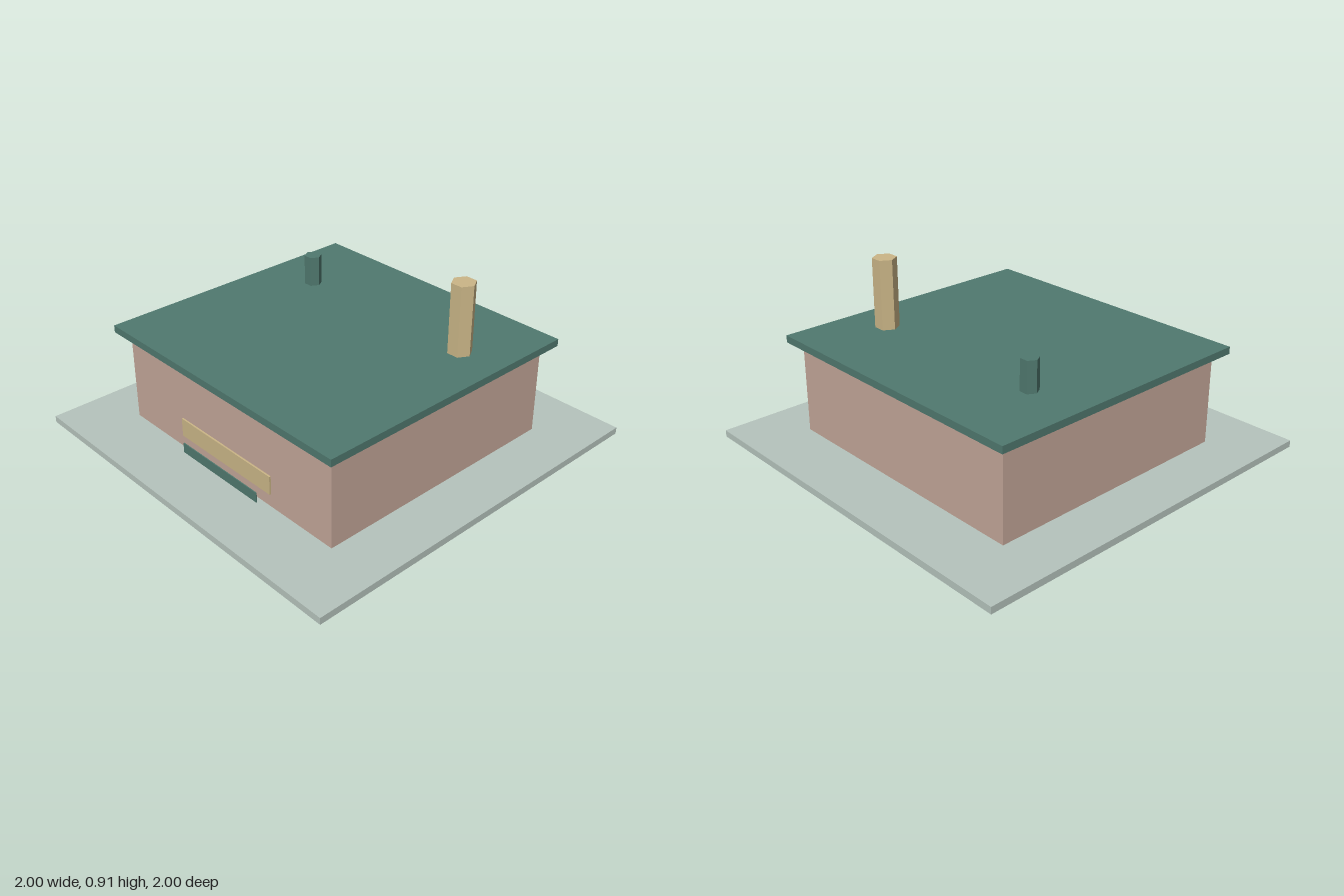
import * as THREE from 'three';

export function createModel() {
  const group = new THREE.Group();
  const material = (name, color) => {
    const m = new THREE.MeshStandardMaterial({ color });
    m.name = name;
    return m;
  };
  const stone = material('pale stone', 0xb6c4bd);
  const wall = material('dusty pink', 0xc3a699);
  const green = material('deep green', 0x50796f);
  const tan = material('tan', 0xcbb687);

  const add = (name, geometry, mat, x, y, z) => {
    const mesh = new THREE.Mesh(geometry, mat);
    mesh.name = name;
    mesh.position.set(x, y, z);
    group.add(mesh);
    return mesh;
  };
  // Box resting between two heights
  const box = (name, mat, w, d, y0, y1, x = 0, z = 0) =>
    add(name, new THREE.BoxGeometry(w, y1 - y0, d), mat, x, (y0 + y1) / 2, z);
  // Hexagonal stack with corners pointing along x
  const hexStack = (name, mat, r, y0, y1, x, z) => {
    const geo = new THREE.CylinderGeometry(r, r, y1 - y0, 6).toNonIndexed();
    geo.rotateY(Math.PI / 6);
    geo.computeVertexNormals();
    add(name, geo, mat, x, (y0 + y1) / 2, z);
  };

  // Ground slab, walls and flat roof
  box('groundSlab', stone, 2, 2, 0, 0.035);
  box('walls', wall, 1.44, 1.36, 0.035, 0.51);
  box('roof', green, 1.556, 1.472, 0.51, 0.547);

  // Chimney and vent
  hexStack('chimney', tan, 0.061, 0.547, 0.907, 0.54, -0.3);
  hexStack('roofVent', green, 0.045, 0.547, 0.705, -0.48, -0.3);

  // Front sign board and the thin panel hanging in front of the wall
  box('signBoard', tan, 0.65, 0.009, 0.105, 0.202, 0, 0.6845);
  box('frontPanel', green, 0.544, 0.005, 0.052, 0.105, 0, 0.723);

  // Small tabs under the eaves, one at the middle of each wall
  for (const s of [-1, 1]) {
    box('eaveTab', green, 0.03, 0.006, 0.49, 0.51, 0, s * 0.682);
    box('eaveTab', green, 0.006, 0.03, 0.49, 0.51, s * 0.722, 0);
  }
  return group;
}
